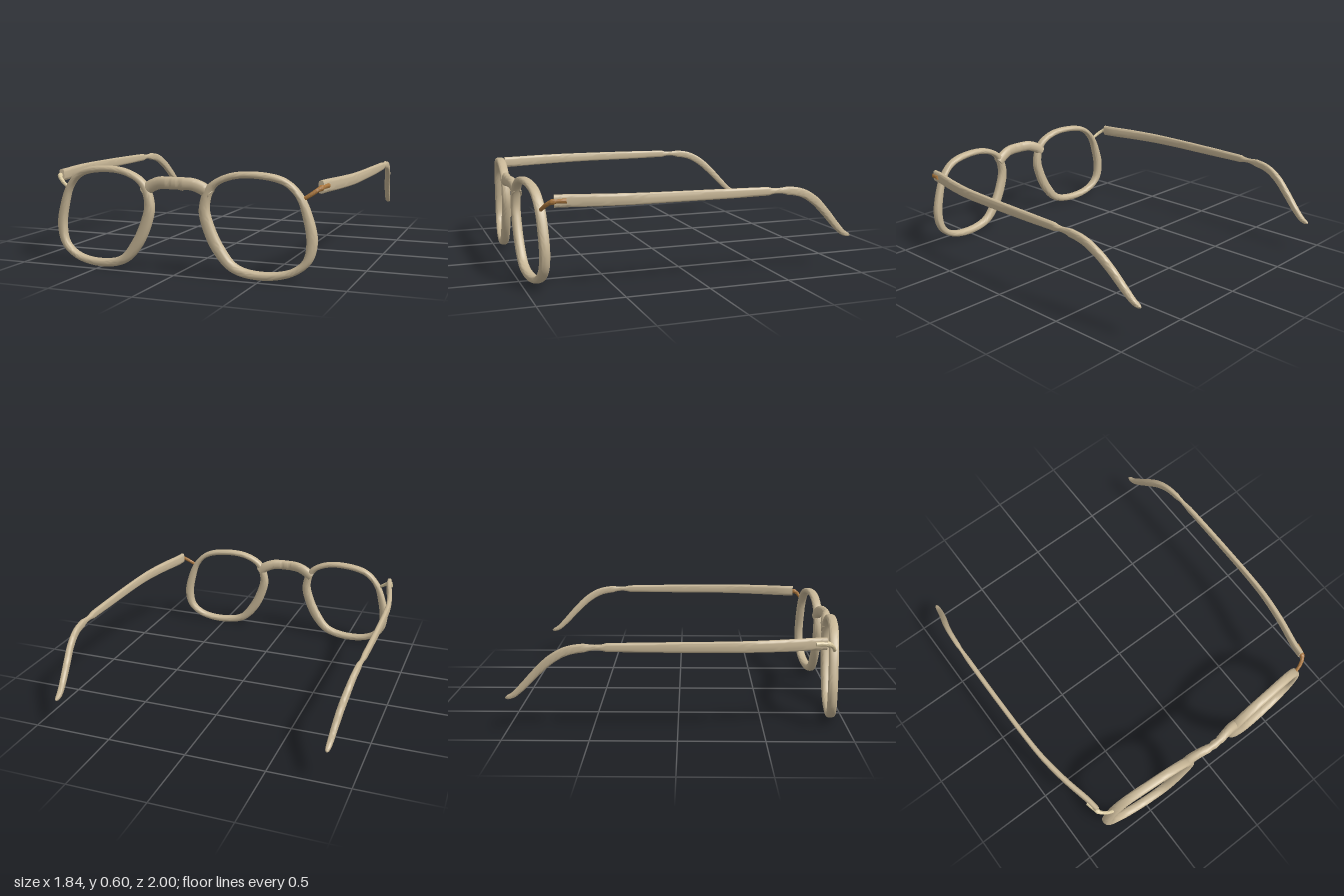
import * as THREE from 'three';
import { toCreasedNormals } from 'three/addons/utils/BufferGeometryUtils.js';

const SIDES = 20;

// Skin a list of equal-sized rings; loop joins the last ring to the first, otherwise ends are capped
function loft(rings, loop) {
  const n = rings.length;
  const pts = rings.flat();
  let idx = [];
  for (let i = 0; i < (loop ? n : n - 1); i++) {
    for (let j = 0; j < SIDES; j++) {
      const a = i * SIDES + j, b = i * SIDES + (j + 1) % SIDES;
      const c = ((i + 1) % n) * SIDES + j, d = ((i + 1) % n) * SIDES + (j + 1) % SIDES;
      idx.push(a, b, c, b, d, c);
    }
  }
  if (!loop) {
    [0, n - 1].forEach((r) => {
      const mid = new THREE.Vector3();
      rings[r].forEach((p) => mid.addScaledVector(p, 1 / SIDES));
      const m = pts.push(mid) - 1;
      for (let j = 0; j < SIDES; j++) {
        const a = r * SIDES + j, b = r * SIDES + (j + 1) % SIDES;
        idx.push(...(r === 0 ? [m, b, a] : [m, a, b]));
      }
    });
  }
  // Turn all faces outwards
  let volume = 0;
  const cross = new THREE.Vector3();
  for (let i = 0; i < idx.length; i += 3) {
    volume += pts[idx[i]].dot(cross.crossVectors(pts[idx[i + 1]], pts[idx[i + 2]]));
  }
  if (volume < 0) idx = idx.reverse();
  const geo = new THREE.BufferGeometry().setFromPoints(pts);
  geo.setIndex(idx);
  return toCreasedNormals(geo, 0.9);
}

// Rounded section: power 1 is an ellipse, smaller is boxier
function section(j, power) {
  const a = (j / SIDES) * Math.PI * 2;
  const round = (v) => Math.sign(v) * Math.pow(Math.abs(v), power);
  return [round(Math.cos(a)), round(Math.sin(a))];
}

// Sweep along stations [x, y, z, half width, half height]
function sweep(stations, steps, power) {
  const path = new THREE.CatmullRomCurve3(stations.map((s) => new THREE.Vector3(s[0], s[1], s[2])));
  const size = new THREE.CatmullRomCurve3(stations.map((s) => new THREE.Vector3(s[3], s[4], 0)));
  const rings = [];
  for (let i = 0; i <= steps; i++) {
    const p = path.getPoint(i / steps), t = path.getTangent(i / steps), s = size.getPoint(i / steps);
    const side = new THREE.Vector3(0, 1, 0).cross(t).normalize();
    const up = new THREE.Vector3().crossVectors(t, side);
    rings.push(Array.from({ length: SIDES }, (_, j) => {
      const [u, v] = section(j, power);
      return p.clone().addScaledVector(side, u * s.x).addScaledVector(up, v * s.y);
    }));
  }
  return loft(rings, false);
}

// Matching outer and inner outlines of the +x rim
const OUTER = [[0.14, 0.387], [0.186, 0.516], [0.305, 0.588], [0.47, 0.605], [0.63, 0.575], [0.727, 0.49], [0.787, 0.357],
  [0.811, 0.228], [0.78, 0.114], [0.68, 0.035], [0.5, 0.002], [0.33, 0.037], [0.226, 0.14], [0.16, 0.278]];
const INNER = [[0.2, 0.4], [0.236, 0.506], [0.33, 0.555], [0.477, 0.566], [0.628, 0.534], [0.697, 0.465], [0.732, 0.357],
  [0.752, 0.228], [0.733, 0.13], [0.66, 0.072], [0.504, 0.05], [0.365, 0.08], [0.288, 0.17], [0.228, 0.288]];

function rim(side) {
  const curve = (list) => new THREE.CatmullRomCurve3(list.map(([x, y]) => new THREE.Vector3(x, y, 0)), true);
  const outer = curve(OUTER), inner = curve(INNER);
  const rings = [];
  for (let i = 0; i < 96; i++) {
    const o = outer.getPoint(i / 96), n = inner.getPoint(i / 96);
    rings.push(Array.from({ length: SIDES }, (_, j) => {
      const [u, v] = section(j, 0.8);
      const p = n.clone().lerp(o, (u + 1) / 2);
      // The front wraps gently backwards towards the temples
      return new THREE.Vector3(side * p.x, p.y, 0.951 - 0.08 * p.x * p.x + v * 0.029);
    }));
  }
  return loft(rings, true);
}

// Temple arm from hinge to ear tip
const TEMPLE = [[0.813, 0.526, 0.85, 0.016, 0.036], [0.822, 0.526, 0.78, 0.017, 0.036], [0.862, 0.526, 0.6, 0.017, 0.035],
  [0.892, 0.526, 0.4, 0.016, 0.033], [0.902, 0.526, 0.2, 0.015, 0.031], [0.905, 0.525, 0, 0.015, 0.03],
  [0.906, 0.524, -0.2, 0.015, 0.028], [0.905, 0.523, -0.4, 0.015, 0.025], [0.902, 0.519, -0.53, 0.015, 0.025],
  [0.896, 0.499, -0.63, 0.016, 0.026], [0.885, 0.448, -0.72, 0.018, 0.026], [0.868, 0.365, -0.81, 0.019, 0.024],
  [0.855, 0.275, -0.895, 0.018, 0.021], [0.849, 0.225, -0.95, 0.016, 0.017], [0.847, 0.209, -0.985, 0.012, 0.012],
  [0.847, 0.205, -1, 0.004, 0.004]];

// Hinge wire from rim to temple
const HINGE = [[0.735, 0.465, 0.91, 0.01, 0.011], [0.775, 0.492, 0.897, 0.011, 0.012], [0.81, 0.518, 0.872, 0.012, 0.013],
  [0.826, 0.527, 0.835, 0.012, 0.013], [0.838, 0.528, 0.785, 0.012, 0.013]];

const BRIDGE_HALF = [[0.205, 0.465, 0.944, 0.031, 0.036], [0.16, 0.499, 0.946, 0.03, 0.036], [0.1, 0.522, 0.956, 0.028, 0.036],
  [0.045, 0.525, 0.966, 0.027, 0.036]];

export function createModel() {
  const make = (name, color) => {
    const m = new THREE.MeshStandardMaterial({ color });
    m.name = name;
    return m;
  };
  const frameColour = make('beige frame', 0xc8b797);
  const brown = make('brown metal', 0xa8753c);
  const pale = make('pale metal', 0xdacaa2);

  const model = new THREE.Group();
  model.name = 'spectacles';
  const add = (name, geometry, material) => {
    const mesh = new THREE.Mesh(geometry, material);
    mesh.name = name;
    model.add(mesh);
  };
  const mirror = (list, side) => list.map(([x, ...rest]) => [side * x, ...rest]);

  for (const [label, side, metal] of [['left', 1, brown], ['right', -1, pale]]) {
    add(label + 'Rim', rim(side), frameColour);
    add(label + 'Temple', sweep(mirror(TEMPLE, side), 90, 0.6), frameColour);
    add(label + 'Hinge', sweep(mirror(HINGE, side), 24, 1), metal);
  }

  // Arched nose bridge
  const bridge = [...mirror(BRIDGE_HALF, -1), [0, 0.525, 0.968, 0.027, 0.036], ...[...BRIDGE_HALF].reverse()];
  add('bridge', sweep(bridge, 48, 0.9), frameColour);
  return model;
}
